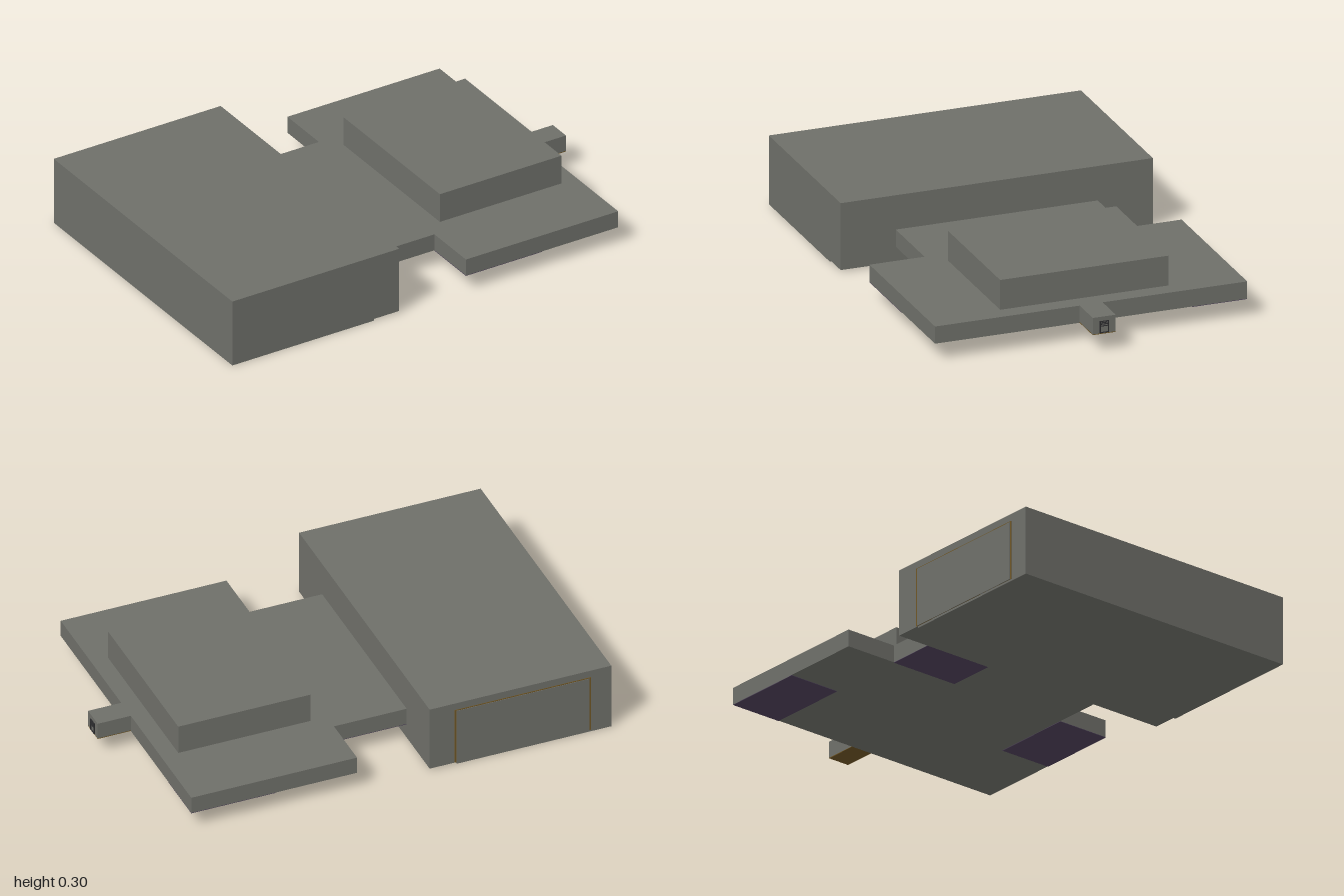
import * as THREE from 'three';

const makeMaterial = (name, color) => {
  const m = new THREE.MeshStandardMaterial({ color });
  m.name = name;
  return m;
};

export function createModel() {
  const model = new THREE.Group();
  model.name = 'building';
  const wall = makeMaterial('grey', 0x6e6f69);
  const brown = makeMaterial('brown', 0x6e5524);
  const purple = makeMaterial('dark purple', 0x4e415a);
  const dark = makeMaterial('dark grey', 0x2a2a2c);

  // Box given by its limits along each axis
  const block = (name, material, [x0, x1], [y0, y1], [z0, z1]) => {
    const mesh = new THREE.Mesh(new THREE.BoxGeometry(x1 - x0, y1 - y0, z1 - z0), material);
    mesh.position.set((x0 + x1) / 2, (y0 + y1) / 2, (z0 + z1) / 2);
    mesh.name = name;
    model.add(mesh);
    return mesh;
  };

  // Tall hall with a shallow base that stops short of its inner side
  block('hall', wall, [-1, -0.2], [0.008, 0.3], [-0.68, 0.68]);
  block('hallBase', wall, [-1, -0.32], [0, 0.008], [-0.68, 0.68]);

  // Low platform in one outline: narrow neck, then the wide deck
  const outline = new THREE.Shape([
    [-0.2, -0.44], [0.12, -0.44], [0.12, -0.68], [0.85, -0.68],
    [0.85, 0.68], [0.12, 0.68], [0.12, 0.44], [-0.2, 0.44],
  ].map(([x, y]) => new THREE.Vector2(x, y)));
  const platformGeometry = new THREE.ExtrudeGeometry(outline, { depth: 0.075, bevelEnabled: false });
  platformGeometry.rotateX(-Math.PI / 2);
  const platform = new THREE.Mesh(platformGeometry, wall);
  platform.position.y = 0.075;
  platform.name = 'platform';
  model.add(platform);

  // Raised block on the deck
  block('upperBlock', wall, [0.192, 0.775], [0.15, 0.28], [-0.367, 0.367]);

  // Small end stub with a brown underside
  block('endStub', wall, [0.85, 0.996], [0.078, 0.15], [-0.05, 0.05]);
  block('stubUnderside', brown, [0.85, 0.996], [0.075, 0.078], [-0.05, 0.05]);

  // Framed hatch with slats on the stub
  for (const z of [-0.018, 0.018]) block('hatchSide', dark, [0.996, 1], [0.08, 0.132], [z - 0.002, z + 0.002]);
  for (const y of [0.082, 0.11, 0.118, 0.124, 0.13]) {
    block('hatchSlat', dark, [0.996, 1], [y - 0.0015, y + 0.0015], [-0.018, 0.018]);
  }

  // Large back door with a thin brown surround
  block('doorSurround', brown, [-0.91, -0.31], [0.009, 0.268], [-0.682, -0.68]);
  block('door', wall, [-0.902, -0.318], [0.009, 0.264], [-0.684, -0.681]);

  // Dark panels under the platform
  const panels = [
    [[0.48, 0.85], [-0.68, -0.44]],
    [[0.12, 0.485], [0.44, 0.68]],
    [[-0.2, 0.12], [-0.44, -0.12]],
  ];
  for (const [x, z] of panels) block('undersidePanel', purple, x, [0.073, 0.075], z);

  return model;
}
